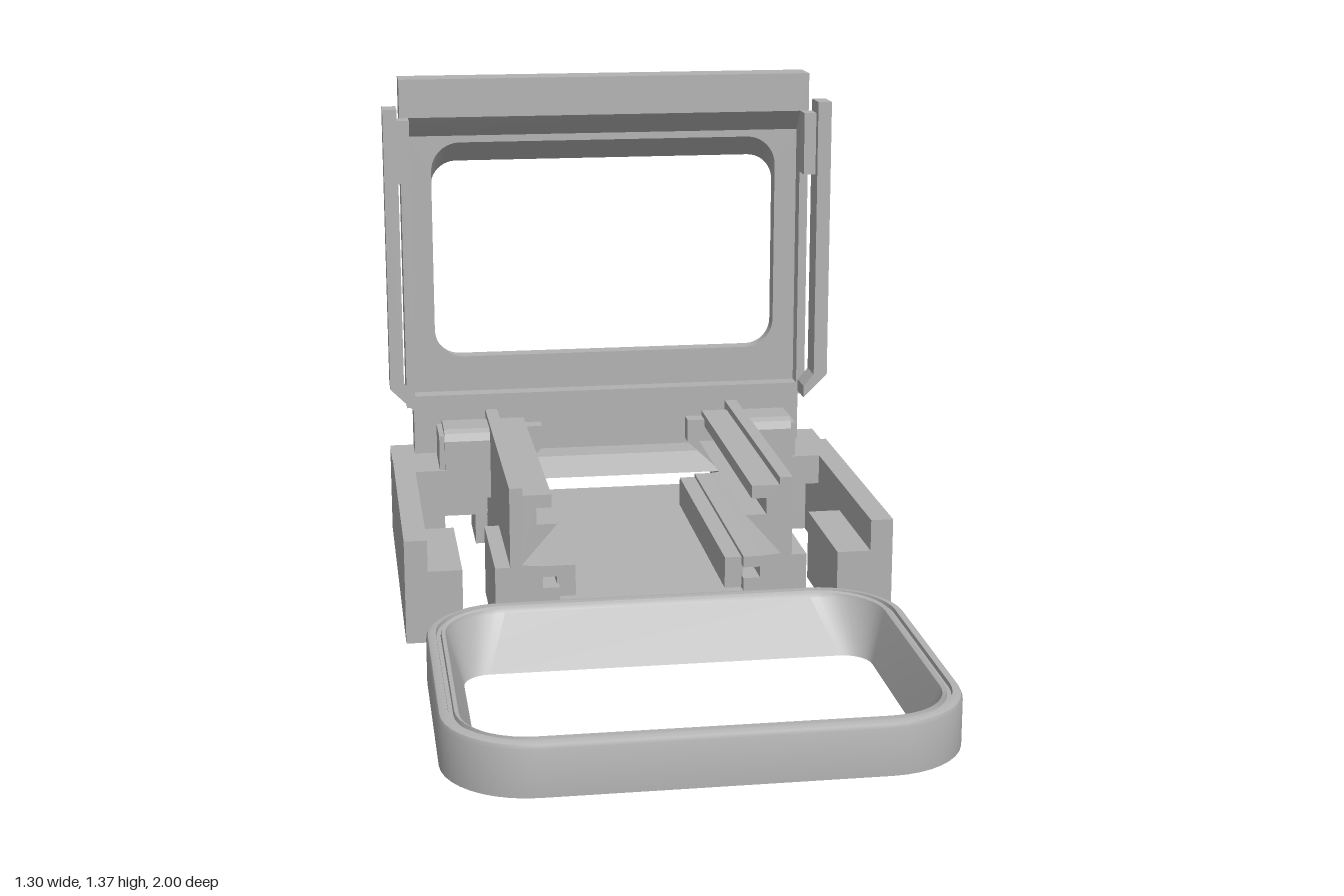
import * as THREE from 'three';
import { toCreasedNormals } from 'three/addons/utils/BufferGeometryUtils.js';

const grey = new THREE.MeshStandardMaterial({ color: 0xb2b2b2 });
grey.name = 'grey plastic';

function add(parent, name, geometry) {
  const mesh = new THREE.Mesh(geometry, grey);
  mesh.name = name;
  parent.add(mesh);
}

// Box from its limits
function box(parent, name, x0, x1, y0, y1, z0, z1) {
  const g = new THREE.BoxGeometry(x1 - x0, y1 - y0, z1 - z0);
  g.translate((x0 + x1) / 2, (y0 + y1) / 2, (z0 + z1) / 2);
  add(parent, name, g);
}

// Outline in x, y pushed along z
function prism(points, z0, z1, holes = []) {
  const toV = (list) => list.map(([x, y]) => new THREE.Vector2(x, y));
  const shape = new THREE.Shape(toV(points));
  for (const h of holes) shape.holes.push(new THREE.Path(toV(h)));
  const g = new THREE.ExtrudeGeometry(shape, { depth: z1 - z0, bevelEnabled: false });
  return g.translate(0, 0, z0);
}

// Mirror an x, y outline to the other side
const flip = (points, s) => points.map(([x, y]) => [x * s, y]);

// Rounded rectangle loop at height w, counter-clockwise
function roundedLoop([x0, x1, y0, y1, r, w]) {
  const steps = 10;
  const corners = [[x1 - r, y0 + r], [x1 - r, y1 - r], [x0 + r, y1 - r], [x0 + r, y0 + r]];
  const loop = [];
  corners.forEach(([cx, cy], k) => {
    for (let i = 0; i <= steps; i++) {
      const a = (k - 1 + i / steps) * Math.PI / 2;
      loop.push([cx + r * Math.cos(a), cy + r * Math.sin(a), w]);
    }
  });
  return loop;
}

// Closed frame skinned through a ring of rounded rectangles
function frame(sections) {
  const loops = sections.map((s) => roundedLoop(s));
  const pos = [];
  loops.forEach((A, i) => {
    const B = loops[(i + 1) % loops.length];
    A.forEach((a, j) => {
      const k = (j + 1) % A.length;
      pos.push(...a, ...A[k], ...B[k], ...a, ...B[k], ...B[j]);
    });
  });
  const g = new THREE.BufferGeometry();
  g.setAttribute('position', new THREE.Float32BufferAttribute(pos, 3));
  return toCreasedNormals(g, 0.5);
}

function buildRing() {
  // Half width, half depth, corner radius, height: outside, grooved rim, tapered hole
  const sections = [
    [0.61, 0.465, 0.21, 0], [0.61, 0.465, 0.21, 0.115], [0.606, 0.461, 0.206, 0.125],
    [0.596, 0.451, 0.196, 0.13], [0.586, 0.441, 0.186, 0.13], [0.584, 0.439, 0.184, 0.12],
    [0.574, 0.429, 0.174, 0.12], [0.572, 0.427, 0.172, 0.13], [0.562, 0.42, 0.162, 0.126],
    [0.558, 0.416, 0.158, 0.115], [0.52, 0.285, 0.07, 0],
  ].map(([hx, hz, r, y]) => [-hx, hx, -0.535 - hz, -0.535 + hz, r, y]);
  return frame(sections).rotateX(-Math.PI / 2);
}

function buildPanel() {
  // Outside, recess with sloped top, window with sloped top
  return frame([
    [-0.6, 0.6, 0.4, 1.37, 0.001, -1], [-0.6, 0.6, 0.4, 1.37, 0.001, -0.9],
    [-0.575, 0.575, 0.435, 1.26, 0.001, -0.9], [-0.575, 0.575, 0.435, 1.2, 0.001, -0.95],
    [-0.51, 0.51, 0.54, 1.18, 0.085, -0.95], [-0.51, 0.51, 0.54, 1.12, 0.075, -1],
  ]);
}

export function createModel() {
  const model = new THREE.Group();
  model.name = 'hinged frame holder';

  add(model, 'looseRing', buildRing());
  add(model, 'uprightPanel', buildPanel());
  box(model, 'panelFoot', -0.58, 0.58, 0.26, 0.4, -1, -0.9);

  // Base
  box(model, 'floorPlate', -0.375, 0.375, 0, 0.1, -0.81, 0);
  const wall = [
    [-0.65, 0], [-0.5, 0], [-0.5, 0.09], [-0.41, 0.09], [-0.41, 0],
    [0.41, 0], [0.41, 0.09], [0.5, 0.09], [0.5, 0], [0.65, 0], [0.65, 0.26], [-0.65, 0.26],
  ];
  const slot = [[-0.33, 0.1], [-0.33, 0.215], [0.33, 0.215], [0.33, 0.1]];
  add(model, 'backWall', prism(wall, -1, -0.81, [slot]));
  const ramp = prism([[0.735, 0.215], [0.81, 0.215], [0.81, 0.26]], -0.34, 0.34);
  add(model, 'ramp', ramp.rotateY(Math.PI / 2));

  // Stepped rail outlines
  const rail = [
    [0.375, 0.09], [0.375, 0.41], [0.34, 0.41], [0.34, 0.39], [0.265, 0.39], [0.265, 0.355],
    [0.305, 0.355], [0.305, 0.31], [0.25, 0.31], [0.345, 0.2], [0.29, 0.195], [0.245, 0.195],
    [0.245, 0.165], [0.29, 0.165], [0.29, 0.135], [0.245, 0.135], [0.245, 0.09],
  ];
  const stop = [[0.36, 0.375], [0.215, 0.375], [0.215, 0.31], [0.33, 0.2], [0.36, 0.2]];
  const arm = [[0.65, 0.48], [0.65, 1.295], [0.61, 1.295], [0.61, 0.48], [0.58, 0.445], [0.58, 0.41]];
  const leg = [[0.5, 0], [0.65, 0], [0.65, 0.28], [0.59, 0.28], [0.59, 0.195], [0.5, 0.195]];
  // Pivot outline seen from the side
  const pivot = [
    [0.635, 0.28], [0.635, 0.365], [0.643, 0.387], [0.665, 0.395],
    [0.765, 0.395], [0.787, 0.387], [0.795, 0.365], [0.795, 0.28],
  ];

  for (const s of [1, -1]) {
    const side = new THREE.Group();
    side.name = s > 0 ? 'leftSide' : 'rightSide';
    model.add(side);
    const sideBox = (name, x0, x1, ...rest) =>
      box(side, name, Math.min(x0 * s, x1 * s), Math.max(x0 * s, x1 * s), ...rest);

    // Side walls and rear blocks
    add(side, 'frontLeg', prism(flip(leg, s), -0.365, 0));
    sideBox('sideWall', 0.59, 0.65, 0, 0.28, -0.81, -0.365);
    sideBox('rearBlock', 0.375, 0.59, 0.195, 0.28, -0.81, -0.635);
    sideBox('ledge', 0.375, 0.415, 0, 0.195, -0.365, 0);

    // Rails
    add(side, 'rail', prism(flip(rail, s), -0.785, 0));
    sideBox('railTopEnd', 0.34, 0.375, 0.28, 0.41, -0.815, -0.785);
    sideBox('lowerLip', 0.2, 0.25, 0.09, 0.185, -0.785, -0.03);
    add(side, 'railStop', prism(flip(stop, s), -0.785, -0.735));

    // Rounded pivot block
    const block = prism(pivot, -0.065, 0.065).rotateY(Math.PI / 2);
    add(side, 'pivotBlock', block.translate(0.44 * s, 0, 0));
    sideBox('pivotCap', 0.5, 0.52, 0.28, 0.38, -0.785, -0.645);

    // Clip arm beside the panel
    add(side, 'clipArm', prism(flip(arm, s), -0.9, -0.815));
    sideBox('clipTab', 0.575, 0.612, 1.08, 1.26, -0.902, -0.84);
  }
  return model;
}
